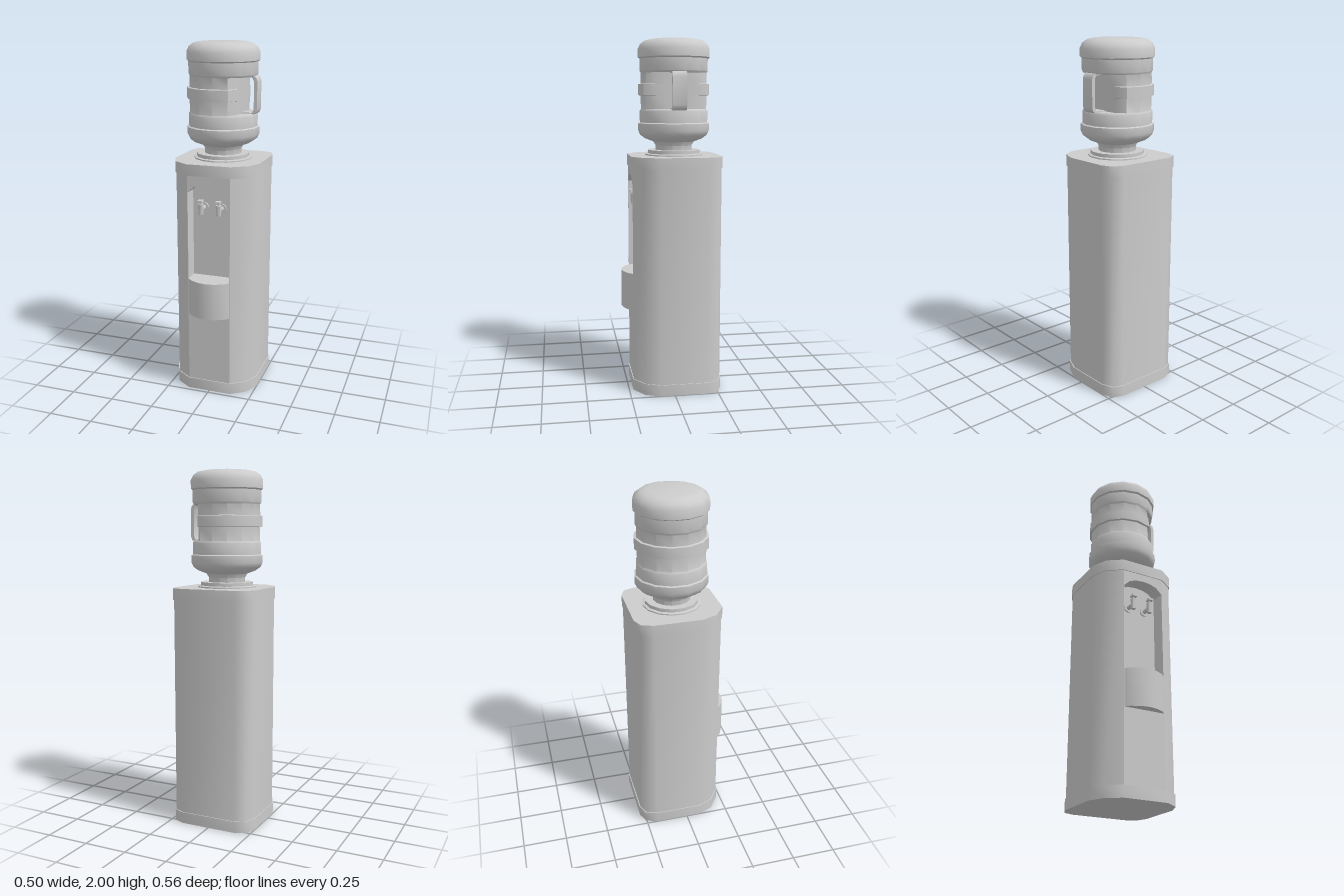
import * as THREE from 'three';
import { toCreasedNormals } from 'three/addons/utils/BufferGeometryUtils.js';

const material = new THREE.MeshStandardMaterial({ color: 0xcccccc, side: THREE.DoubleSide });

function part(name, geometry, crease = 0.65) {
  const mesh = new THREE.Mesh(toCreasedNormals(geometry, crease), material);
  mesh.name = name;
  return mesh;
}

const shapeOf = (pts) => new THREE.Shape(pts.map(([x, y]) => new THREE.Vector2(x, y)));

// Vertical prism from an (x, z) outline.
function prism(outline, y0, y1) {
  const shape = shapeOf(outline.map(([x, z]) => [x, -z]));
  return new THREE.ExtrudeGeometry(shape, { depth: y1 - y0, bevelEnabled: false })
    .rotateX(-Math.PI / 2).translate(0, y0, 0);
}

// Open band of quads between two rows of points.
function band(rowA, rowB) {
  const index = [], n = rowA.length;
  for (let i = 0; i < n - 1; i++) index.push(i, i + 1, n + i + 1, i, n + i + 1, n + i);
  const geo = new THREE.BufferGeometry();
  geo.setAttribute('position', new THREE.Float32BufferAttribute([...rowA, ...rowB].flat(), 3));
  geo.setIndex(index);
  return geo;
}

// Half outlines get mirrored across x = 0.
const mirrored = (half) => [...half, ...half.map(([x, y]) => [-x, y]).reverse()];

const outline = mirrored([[0.127, 0.227], [0.212, 0.168], [0.25, 0.08], [0.25, -0.19], [0.225, -0.255], [0.165, -0.28]]);
const inset = outline.map(([x, z]) => [x * 0.982, (z + 0.027) * 0.982 - 0.027]);
const frontZ = inset[0][1];
const alcoveZ = 0.135;

function cabinet() {
  const g = new THREE.Group();
  g.name = 'cabinet';
  g.add(part('baseRim', prism(outline, 0, 0.065), 0.9));
  g.add(part('topCap', prism(outline, 1.29, 1.355), 0.9));

  // Side and back walls
  g.add(part('cabinetWalls', band(inset.map(([x, z]) => [x, 0.06, z]), inset.map(([x, z]) => [x, 1.3, z])), 0.9));

  // Front panel with an arched opening
  const w = inset[0][0];
  const arch = [[-0.122, 0.69], [0.122, 0.69], [0.122, 1.195], [0.085, 1.229], [0.045, 1.243], [0, 1.247],
    [-0.045, 1.243], [-0.085, 1.229], [-0.122, 1.195]];
  const panel = shapeOf([[-w, 0.06], [w, 0.06], [w, 1.3], [-w, 1.3]]);
  panel.holes.push(shapeOf(arch));
  g.add(part('frontPanel', new THREE.ShapeGeometry(panel).translate(0, 0, frontZ)));

  // Alcove lining and back
  const loop = [...arch, arch[0]];
  g.add(part('alcoveLining', band(loop.map(([x, y]) => [x, y, alcoveZ]), loop.map(([x, y]) => [x, y, frontZ]))));
  g.add(part('alcoveBack', new THREE.ShapeGeometry(shapeOf(arch)).translate(0, 0, alcoveZ)));

  // Bow-fronted drip tray
  const bow = mirrored([[0.122, 0.2], [0.122, 0.222], [0.098, 0.246], [0.05, 0.27], [0.001, 0.279]]
    .reverse()).reverse();
  g.add(part('dripTray', prism(bow, 0.475, 0.69)));
  return g;
}

function tap(x) {
  const g = new THREE.Group();
  g.name = 'tap';
  const cyl = (name, r0, r1, h, y, z, alongZ) => {
    const geo = new THREE.CylinderGeometry(r0, r1, h, 10);
    if (alongZ) geo.rotateX(Math.PI / 2);
    g.add(part(name, geo.translate(0, y, z)));
  };
  cyl('tapFlange', 0.025, 0.025, 0.01, 0, 0.005, true);
  cyl('tapPipe', 0.012, 0.012, 0.07, 0, 0.035, true);
  cyl('tapBody', 0.016, 0.013, 0.06, 0, 0.066, false);
  cyl('tapStem', 0.007, 0.007, 0.025, 0.035, 0.066, false);
  g.add(part('tapLever', new THREE.BoxGeometry(0.028, 0.012, 0.034).translate(0, 0.048, 0.072)));
  g.position.set(x, 1.1, alcoveZ);
  return g;
}

function bottle() {
  const g = new THREE.Group();
  g.name = 'bottle';
  const recessX = 0.12;
  // [radius, height, cut flat for the hand recess]
  const profile = [[0, 1.36], [0.105, 1.36], [0.105, 1.41], [0.118, 1.432], [0.165, 1.45], [0.193, 1.47],
    [0.205, 1.495], [0.205, 1.535], [0.195, 1.54], [0.195, 1.605], [0.188, 1.615],
    [0.188, 1.615, 1], [0.19, 1.69, 1], [0.203, 1.692, 1], [0.203, 1.752, 1], [0.19, 1.755, 1], [0.188, 1.815, 1],
    [0.188, 1.815], [0.195, 1.825], [0.195, 1.893], [0.205, 1.9], [0.205, 1.945], [0.192, 1.972],
    [0.165, 1.992], [0.128, 2], [0, 2]];
  const geo = new THREE.LatheGeometry(profile.map(([r, y]) => new THREE.Vector2(r, y)), 14);
  const pos = geo.attributes.position;
  for (let i = 0; i < pos.count; i++) {
    if (profile[i % profile.length][2]) pos.setX(i, Math.min(pos.getX(i), recessX));
  }
  g.add(part('bottleBody', geo));

  // Carrying handle bridging the recess
  const grip = shapeOf([[0.11, 1.61], [0.19, 1.61], [0.203, 1.62], [0.209, 1.64], [0.209, 1.79], [0.203, 1.81],
    [0.19, 1.82], [0.11, 1.82], [0.11, 1.81], [0.18, 1.81], [0.19, 1.79], [0.19, 1.64], [0.18, 1.62], [0.11, 1.62]]);
  g.add(part('bottleHandle', new THREE.ExtrudeGeometry(grip, { depth: 0.08, bevelEnabled: false })
    .translate(0, 0, -0.04)));

  // Stepped collar that seats the neck
  const collar = [[0.165, 1.35], [0.165, 1.362], [0.15, 1.366], [0.15, 1.385], [0.1, 1.385]];
  g.add(part('collar', new THREE.LatheGeometry(collar.map(([r, y]) => new THREE.Vector2(r, y)), 14)));
  g.position.z = -0.03;
  return g;
}

export function createModel() {
  const model = new THREE.Group();
  model.name = 'waterCooler';
  model.add(cabinet(), bottle());
  for (const x of [-0.052, 0.052]) model.add(tap(x));
  return model;
}
